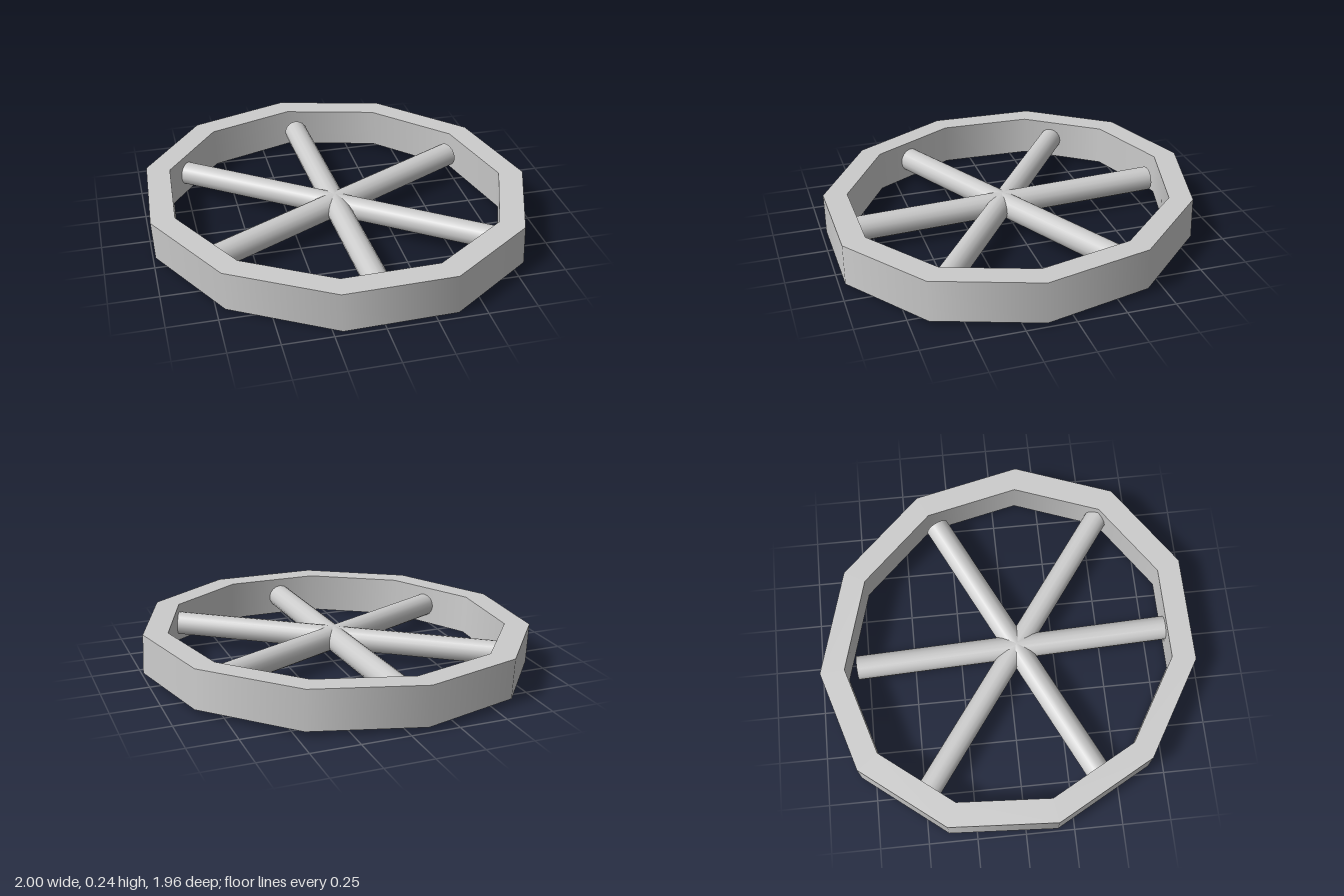
import * as THREE from 'three';
import { mergeGeometries } from 'three/addons/utils/BufferGeometryUtils.js';

const rad = THREE.MathUtils.degToRad;
const MID_Y = 0.118;

// Slight lean of the whole wheel, pivoting about its mid height
const lean = new THREE.Matrix4().set(
  1, -0.045, 0, 0,
  0.01, 1, -0.009, MID_Y,
  0, 0, 1, 0,
  0, 0, 0, 1
);

// Eleven-sided hollow rim: smooth round the walls, sharp at the four edges
function rimGeometry(inner, outer, height) {
  const h = height / 2;
  const corners = [[inner, -h], [outer, -h], [outer, h], [inner, h]]
    .map(([x, y]) => new THREE.Vector2(x, y));
  const bands = corners.map((p, i) =>
    new THREE.LatheGeometry([p, corners[(i + 1) % 4]], 11, rad(51.9)));
  // Stretch into a faint oval along the diagonal
  const oval = new THREE.Matrix4().makeRotationY(rad(-42))
    .multiply(new THREE.Matrix4().makeScale(1.043, 1, 0.963))
    .multiply(new THREE.Matrix4().makeRotationY(rad(42)));
  return mergeGeometries(bands)
    .applyMatrix4(oval)
    .translate(-0.011, 0, 0.013)
    .applyMatrix4(lean);
}

// Round bar lying flat between two (x, z) points
function barGeometry([x1, z1], [x2, z2], radius) {
  const dx = x2 - x1, dz = z2 - z1;
  return new THREE.CylinderGeometry(radius, radius, Math.hypot(dx, dz), 16)
    .rotateX(Math.PI / 2)
    .rotateY(Math.atan2(dx, dz))
    .translate((x1 + x2) / 2, 0, (z1 + z2) / 2)
    .applyMatrix4(lean);
}

export function createModel() {
  const group = new THREE.Group();
  group.name = 'spokedWheel';
  const material = new THREE.MeshStandardMaterial({ color: 0xcccccc });
  const add = (name, geometry) => {
    const mesh = new THREE.Mesh(geometry, material);
    mesh.name = name;
    group.add(mesh);
  };

  add('rim', rimGeometry(0.872, 1, 0.21));

  // Three bars crossing at a slightly off-centre hub make six spokes
  const bars = [
    [[-0.055, -0.8], [0.017, 0.9], 0.064],
    [[0.725, -0.315], [-0.765, 0.415], 0.064],
    [[0.74, 0.6], [-0.78, -0.5], 0.062],
  ];
  bars.forEach(([from, to, radius], i) =>
    add(`spokeBar${i + 1}`, barGeometry(from, to, radius)));

  return group;
}
